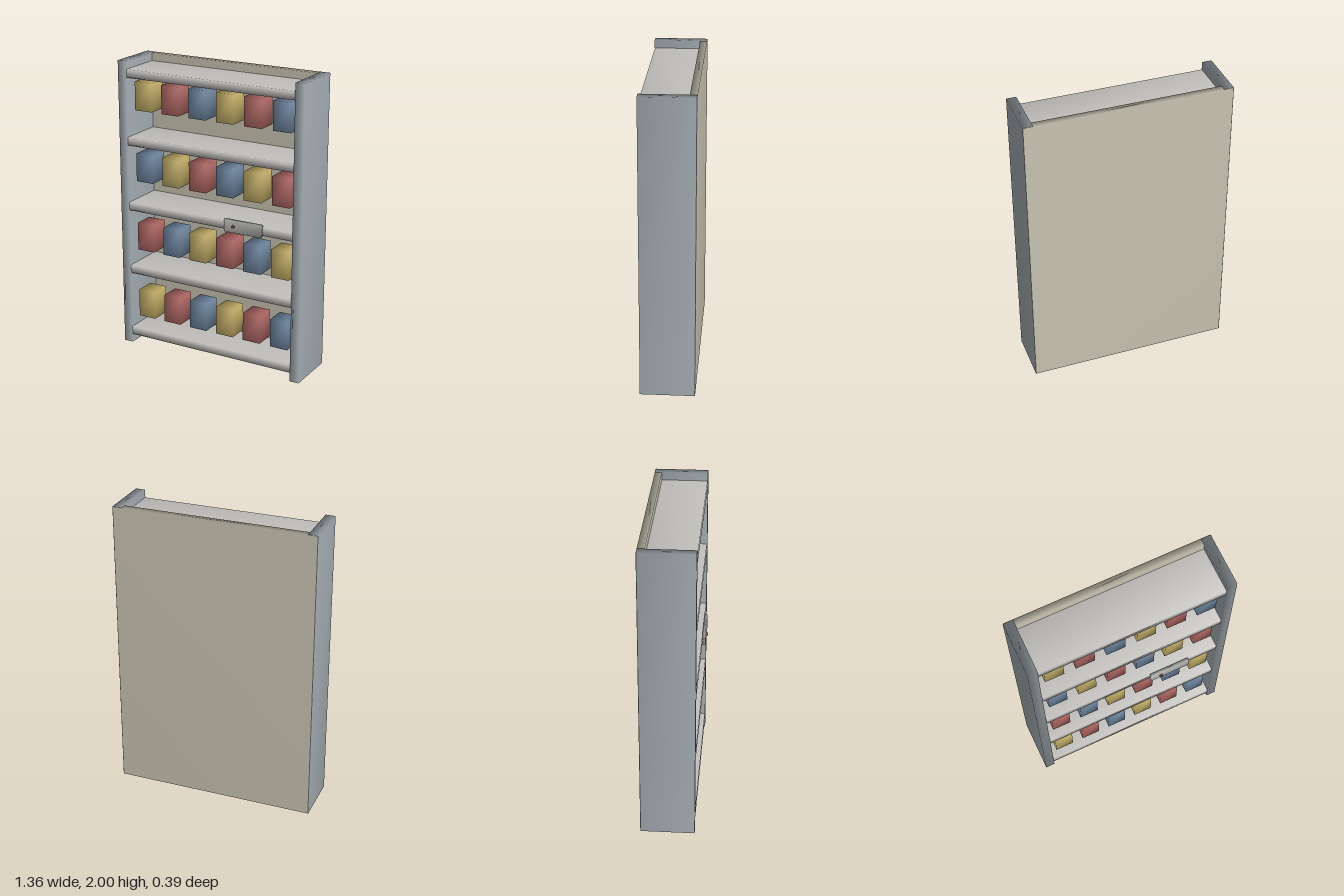
import * as THREE from 'three';
import { mergeVertices } from 'three/addons/utils/BufferGeometryUtils.js';

const paint = (color) => new THREE.MeshStandardMaterial({ color });

// Box given by its extents, with welded corners for soft shading
function softBox(name, material, [x0, x1], [y0, y1], [z0, z1]) {
  let geo = new THREE.BoxGeometry(x1 - x0, y1 - y0, z1 - z0);
  geo.deleteAttribute('normal');
  geo.deleteAttribute('uv');
  geo = mergeVertices(geo);
  geo.computeVertexNormals();
  const mesh = new THREE.Mesh(geo, material);
  mesh.position.set((x0 + x1) / 2, (y0 + y1) / 2, (z0 + z1) / 2);
  mesh.name = name;
  return mesh;
}

export function createModel() {
  const model = new THREE.Group();
  model.name = 'displayShelf';

  const sideMat = paint(0xa4adb3);
  const backMat = paint(0xc8c3b2);
  const shelfMat = paint(0xc0bebb);
  const goodsMats = [paint(0xc9b36a), paint(0xb56a66), paint(0x718aa5)];

  // Upright side panels
  model.add(softBox('leftSide', sideMat, [0.617, 0.682], [0, 2], [-0.193, 0.162]));
  model.add(softBox('rightSide', sideMat, [-0.682, -0.617], [0, 2], [-0.193, 0.162]));

  // Back panel, just behind the sides
  model.add(softBox('backPanel', backMat, [-0.68, 0.68], [0.001, 1.999], [-0.195, -0.147]));

  // Shelves, let into the side panels
  [0.06, 0.52, 0.975, 1.43, 1.89].forEach((y, i) => {
    model.add(softBox(`shelf${i + 1}`, shelfMat, [-0.68, 0.68], [y, y + 0.057], [-0.16, 0.16]));
  });

  // Rows of goods, the colours shifting by one on each row
  [0.2, 0.69, 1.18, 1.67].forEach((y, row) => {
    const goods = new THREE.Group();
    goods.name = `goodsRow${row + 1}`;
    for (let i = 0; i < 6; i++) {
      const x = -0.51 + i * 0.205;
      goods.add(softBox('packet', goodsMats[(i + row) % 3],
        [x - 0.064, x + 0.064], [y, y + 0.194], [-0.01, 0.13]));
    }
    model.add(goods);
  });

  // Latch plate with a small pin on the middle shelf
  const latch = new THREE.Group();
  latch.name = 'latch';
  latch.add(softBox('latchPlate', paint(0xb4b4b2), [0.13, 0.404], [0.965, 1.05], [0.16, 0.181]));
  const pin = new THREE.Mesh(new THREE.CylinderGeometry(0.01, 0.01, 0.018, 16), paint(0x8a5048));
  pin.name = 'latchPin';
  pin.rotation.x = Math.PI / 2;
  pin.position.set(0.2, 1.008, 0.184);
  latch.add(pin);
  model.add(latch);

  return model;
}
